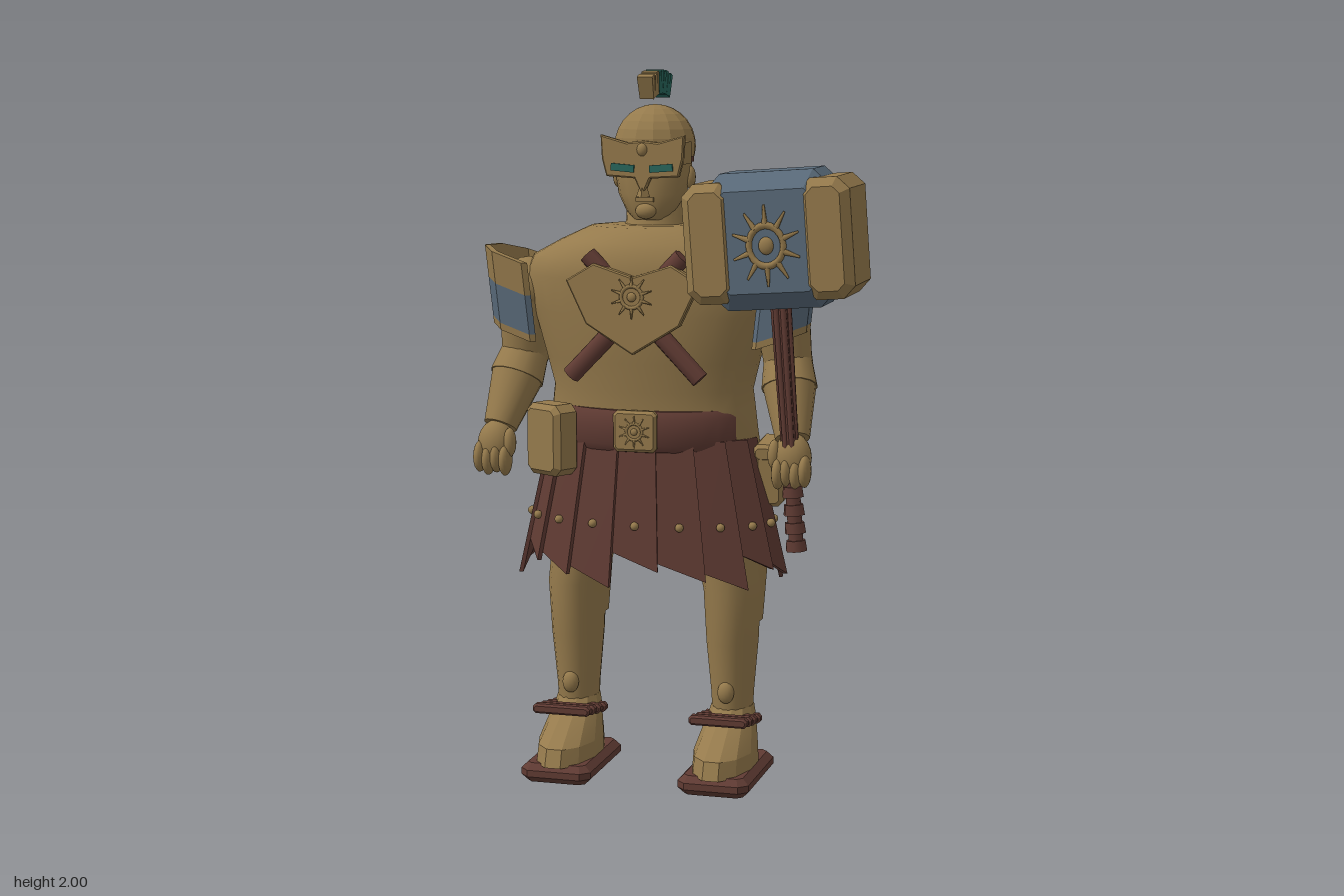
import * as THREE from 'three';
import { toCreasedNormals } from 'three/addons/utils/BufferGeometryUtils.js';

const CX = -0.07; // body's mirror plane
const V = (x, y, z) => new THREE.Vector3(x, y, z);
const paint = (name, color) => {
  const m = new THREE.MeshStandardMaterial({ color, side: THREE.DoubleSide });
  m.name = name;
  return m;
};

// closed rings of points, bottom to top, with ladder caps
function loft(rings, crease = 0.7) {
  const n = rings[0].length, idx = [];
  for (let i = 0; i + 1 < rings.length; i++) for (let j = 0; j < n; j++) {
    const a = i * n + j, b = i * n + (j + 1) % n;
    idx.push(a, a + n, b, b, a + n, b + n);
  }
  const top = (rings.length - 1) * n;
  for (let j = 0; j < n / 2 - 1; j++) {
    const k = n - 1 - j;
    idx.push(j, j + 1, k - 1, j, k - 1, k);
    idx.push(top + j, top + k - 1, top + j + 1, top + j, top + k, top + k - 1);
  }
  const g = new THREE.BufferGeometry().setFromPoints(rings.flat());
  g.setIndex(idx);
  return toCreasedNormals(g, crease);
}
// rows of [y, centre x, centre z, radius x, radius z]
const ovals = (rows, sides = 28, crease) => loft(rows.map(([y, cx, cz, rx, rz]) =>
  Array.from({ length: sides }, (_, j) => {
    const a = (j + 0.5) / sides * Math.PI * 2;
    return V(cx + rx * Math.cos(a), y, cz + rz * Math.sin(a));
  })), crease);

const shapeOf = pts => new THREE.Shape(pts.map(p => new THREE.Vector2(...p)));
function chamferBox(w, h, d, c) {
  const x = w / 2 - c, y = h / 2 - c, k = c * 0.8;
  const s = shapeOf([[-x + k, -y], [x - k, -y], [x, -y + k], [x, y - k], [x - k, y], [-x + k, y], [-x, y - k], [-x, -y + k]]);
  return new THREE.ExtrudeGeometry(s, { depth: d - 2 * c, bevelThickness: c, bevelSize: c, bevelSegments: 1 })
    .translate(0, 0, -d / 2 + c);
}
function plate(half, depth) { // outline mirrored in x
  const pts = [...half, ...half.filter(p => p[0] > 0).reverse().map(([x, y]) => [-x, y])];
  return new THREE.ExtrudeGeometry(shapeOf(pts), { depth, bevelThickness: 0.004, bevelSize: 0.004, bevelSegments: 1 });
}
function rod(a, b, ra, rb, sides = 16) {
  const d = b.clone().sub(a);
  const q = new THREE.Quaternion().setFromUnitVectors(V(0, 1, 0), d.clone().normalize());
  const g = new THREE.CylinderGeometry(rb, ra, d.length(), sides).applyQuaternion(q);
  const m = a.clone().add(b).multiplyScalar(0.5);
  return g.translate(m.x, m.y, m.z);
}
const ball = (x, y, z, rx, ry = rx, rz = rx) => new THREE.SphereGeometry(1, 16, 10).scale(rx, ry, rz).translate(x, y, z);
const box = (w, h, d, x, y, z) => new THREE.BoxGeometry(w, h, d).translate(x, y, z);
function flat(g) {
  const f = g.toNonIndexed();
  f.computeVertexNormals();
  return f;
}

export function createModel() {
  const root = new THREE.Group();
  const bronze = paint('bronze', 0x957a4c), steel = paint('steel', 0x5a6b7a);
  const leather = paint('leather', 0x603b33), teal = paint('teal', 0x28675c);
  const add = (name, geo, mat, parent = root) => {
    const m = new THREE.Mesh(geo, mat);
    m.name = name;
    parent.add(m);
    return m;
  };
  const group = (name, x = 0, y = 0, z = 0, parent = root) => {
    const g = new THREE.Group();
    g.name = name;
    g.position.set(x, y, z);
    parent.add(g);
    return g;
  };
  function sun(parent, x, y, z, r, stretch = 1) {
    const g = group('sunEmblem', x, y, z, parent);
    g.scale.y = stretch;
    add('sunRing', new THREE.TorusGeometry(r * 0.5, r * 0.09, 6, 20), bronze, g);
    add('sunCore', ball(0, 0, 0, r * 0.22, r * 0.22, r * 0.12), bronze, g);
    for (let i = 0; i < 10; i++) {
      const a = (i + 0.5) * Math.PI / 5, c = Math.cos(a), s = Math.sin(a);
      add('sunRay', rod(V(c * r * 0.5, s * r * 0.5, 0), V(c * r, s * r, 0), r * 0.09, r * 0.03, 6), bronze, g);
    }
  }

  // torso with hips
  add('torso', ovals([
    [0.77, CX, -0.065, 0.22, 0.125], [0.80, CX, -0.065, 0.28, 0.165], [0.87, CX, -0.06, 0.302, 0.176],
    [0.94, CX, -0.055, 0.305, 0.174], [1.0, CX, -0.04, 0.3, 0.166], [1.07, CX, -0.032, 0.294, 0.162],
    [1.12, CX, -0.03, 0.288, 0.162],
    [1.2, CX, -0.026, 0.308, 0.172], [1.33, CX, -0.024, 0.345, 0.18], [1.43, CX, -0.024, 0.37, 0.183],
    [1.485, CX, -0.024, 0.345, 0.18], [1.53, CX, -0.022, 0.262, 0.155],
    [1.57, CX, -0.02, 0.175, 0.115], [1.575, CX, -0.025, 0.12, 0.09]], 32), bronze);

  // belt, sinking into the hips at the sides, and buckle
  add('belt', ovals([[0.955, CX, -0.035, 0.274, 0.178], [0.975, CX, -0.033, 0.284, 0.188],
    [1.05, CX, -0.03, 0.284, 0.186], [1.07, CX, -0.03, 0.274, 0.174]], 32), leather);
  add('buckle', chamferBox(0.125, 0.115, 0.03, 0.008).translate(CX, 1.015, 0.147), bronze);
  sun(root, CX, 1.015, 0.164, 0.045);

  // skirt of overlapping slanted flaps, open at the back
  const flaps = 11, start = -0.42, span = (Math.PI + 0.84) / flaps;
  const hem = (a, y, out) => {
    const t = (0.99 - y) / 0.4;
    return V(CX + (0.287 + 0.093 * t + out) * Math.cos(a), y, -0.015 + (0.142 + 0.038 * t + out) * Math.sin(a));
  };
  for (let i = 0; i < flaps; i++) {
    const a0 = start + i * span, a1 = a0 + span * 1.08, low = 0.575 + 0.025 * (i % 3);
    const row = (y0, y1) => [hem(a0, y0, 0.015), hem(a1, y1, 0.004), hem(a1, y1, -0.008), hem(a0, y0, 0.003)];
    add('skirtFlap', loft([row(low, low + 0.05), row(0.985, 0.985)], 0.1), leather);
    const p = hem(a0 + span * 0.5, 0.75, 0.012);
    add('skirtStud', ball(p.x, p.y, p.z, 0.012), bronze);
  }

  // things hung from the belt
  add('hipPlate', chamferBox(0.135, 0.2, 0.09, 0.015).rotateY(-0.5).translate(-0.322, 0.98, 0.12), bronze);
  add('beltBox', chamferBox(0.08, 0.17, 0.12, 0.012).rotateX(0.12).translate(0.27, 0.88, -0.065), bronze);
  add('beltBoxLid', chamferBox(0.09, 0.05, 0.13, 0.01).rotateX(0.12).translate(0.27, 0.95, -0.06), bronze);
  add('canister', rod(V(-0.345, 0.795, -0.185), V(-0.345, 0.91, -0.185), 0.049, 0.056, 12), leather);
  add('canisterCap', ball(-0.345, 0.92, -0.185, 0.06, 0.045, 0.054), leather);

  // chest plate over crossed hafts
  for (const s of [-1, 1])
    add('crossedHaft', rod(V(CX - s * 0.185, 1.165, 0.15), V(CX + s * 0.135, 1.5, 0.15), 0.026, 0.026, 8), leather);
  add('chestPlate', plate([[0, 1.235], [0.13, 1.315], [0.185, 1.43], [0.11, 1.475], [0, 1.44]], 0.022)
    .translate(CX, 0, 0.155), bronze);
  sun(root, CX, 1.39, 0.185, 0.06);

  // head
  add('neck', ovals([[1.53, CX, -0.035, 0.11, 0.09], [1.58, CX, -0.042, 0.08, 0.076], [1.68, CX, -0.045, 0.075, 0.075]], 16), bronze);
  add('face', ovals([[1.59, CX, 0.005, 0.045, 0.035], [1.615, CX, -0.005, 0.07, 0.055], [1.66, CX, -0.022, 0.096, 0.076],
    [1.72, CX, -0.033, 0.108, 0.09], [1.79, CX, -0.04, 0.104, 0.095]], 16), bronze);
  add('helmet', flat(new THREE.SphereGeometry(0.115, 14, 8, 0, Math.PI * 2, 0, 1.82).translate(CX, 1.79, -0.05)), bronze);
  add('helmetBand', ovals([[1.747, CX, -0.05, 0.108, 0.098], [1.764, CX, -0.05, 0.109, 0.104]], 14), leather);
  add('visor', plate([[0, 1.665], [0.02, 1.71], [0.1, 1.715], [0.112, 1.76], [0.116, 1.82], [0.045, 1.8], [0, 1.805]], 0.014)
    .translate(CX, 0, 0.063), bronze);
  add('browJewel', ball(CX, 1.785, 0.08, 0.015, 0.018, 0.012), bronze);
  add('nose', flat(new THREE.ConeGeometry(0.02, 0.06, 4).translate(CX, 1.685, 0.07)), bronze);
  add('lips', box(0.05, 0.012, 0.02, CX, 1.647, 0.05), bronze);
  add('chinTuft', ball(CX, 1.615, 0.045, 0.03, 0.022, 0.02), bronze);
  for (const s of [-1, 1]) {
    add('eye', box(0.066, 0.02, 0.009, 0, 0, 0).rotateZ(s * 0.08).translate(CX + s * 0.055, 1.735, 0.083), teal);
    add('temple', box(0.014, 0.06, 0.08, CX + s * 0.108, 1.775, 0.03), bronze);
    add('ear', ball(CX + s * 0.104, 1.705, -0.04, 0.015, 0.032, 0.02), bronze);
  }

  // crest: a fan of small wedges above the helmet
  for (let i = 0; i < 9; i++) {
    const a = (i - 4) * 0.078, r = 0.3;
    const q = (rad, d) => [rad * Math.cos(a + d) - r + 2, -0.048 - rad * Math.sin(a + d)];
    const ring = (rad, w) => {
      const [y0, z0] = q(rad, -0.039), [y1, z1] = q(rad, 0.039);
      return [V(CX + w, y1, z1), V(CX + w, y0, z0), V(CX - w, y0, z0), V(CX - w, y1, z1)];
    };
    add('crestWedge', loft([ring(0.235, 0.02), ring(0.3 - 0.004 * (i % 2), 0.022 + 0.002 * (i % 2))], 0.1), i < 3 ? bronze : teal);
  }

  for (const s of [-1, 1]) {
    const side = s > 0 ? 'left' : 'right';
    const X = d => CX + s * d;

    // arm
    const arm = group(side + 'Arm');
    const elbow = V(X(0.385), 1.2, -0.045), wrist = V(X(0.425), 1.0, 0.065);
    add('shoulder', ball(X(0.365), 1.39, -0.025, 0.085), bronze, arm);
    add('upperArm', rod(V(X(0.365), 1.39, -0.025), elbow, 0.082, 0.068), bronze, arm);
    add('elbow', ball(elbow.x, elbow.y, elbow.z, 0.07), bronze, arm);
    const mid = elbow.clone().lerp(wrist, 0.35);
    add('forearm', rod(elbow, mid, 0.068, 0.078), bronze, arm);
    add('bracer', rod(mid, wrist, 0.074, 0.048), bronze, arm);
    add('palm', ball(X(0.43), 0.95, 0.085, 0.054, 0.07, 0.05), bronze, arm);
    for (let i = 0; i < 4; i++)
      add('finger', ball(X(0.395 + i * 0.025), 0.91 + 0.008 * (i % 2), 0.11, 0.018, 0.045, 0.034), bronze, arm);
    add('thumb', ball(X(0.383), 0.96, 0.105, 0.018, 0.042, 0.022), bronze, arm);

    // curved shoulder guard with a steel band
    const guard = [[0.335, -0.16], [0.415, -0.138], [0.468, -0.065], [0.478, 0.03], [0.438, 0.085], [0.35, 0.09]];
    const section = (y, t) => {
      const outer = guard.map(([d, z]) => V(X(d - 0.025 * (1 - t)), y + 0.05 * (d - 0.335) / 0.143, z));
      const inner = guard.map(([d, z]) =>
        V(X(d - 0.025 * (1 - t) - 0.014), y + 0.05 * (d - 0.335) / 0.143, z * 0.87)).reverse();
      const ring = [...outer, ...inner];
      return s > 0 ? ring : ring.reverse();
    };
    for (const [name, y0, y1, mat] of [['guardTrim', 1.24, 1.26, bronze], ['guardBand', 1.26, 1.37, steel], ['guardTop', 1.37, 1.46, bronze]])
      add(name, loft([section(y0, (y0 - 1.24) / 0.22), section(y1, (y1 - 1.24) / 0.22)], 0.3), mat, arm);

    // leg
    const leg = group(side + 'Leg'), lx = X(0.23);
    add('legShaft', ovals([[0.16, lx, -0.045, 0.056, 0.072], [0.25, lx, -0.045, 0.06, 0.08], [0.4, lx, -0.042, 0.073, 0.1],
      [0.55, lx, -0.037, 0.08, 0.108], [0.68, lx - s * 0.02, -0.045, 0.09, 0.115], [0.86, lx - s * 0.05, -0.05, 0.1, 0.12]], 20), bronze, leg);
    add('thighGuard', ovals([[0.45, lx, -0.08, 0.076, 0.085], [0.6, lx, -0.08, 0.088, 0.09],
      [0.82, lx - s * 0.03, -0.075, 0.098, 0.1]], 16), bronze, leg);
    add('ankleStud', ball(lx, 0.26, 0.035, 0.024, 0.032, 0.02), bronze, leg);
    add('foot', ovals([[0.05, lx, 0.035, 0.088, 0.178], [0.1, lx, 0.03, 0.086, 0.165], [0.145, lx, -0.005, 0.076, 0.125],
      [0.18, lx, -0.035, 0.067, 0.09], [0.21, lx, -0.045, 0.06, 0.076]], 12, 0.2), bronze, leg);
    add('sole', chamferBox(0.205, 0.345, 0.055, 0.018).rotateX(Math.PI / 2).translate(lx, 0.0275, 0.028), leather, leg);
    for (let i = 0; i < 4; i++)
      add('ankleStrap', chamferBox(0.17, 0.028, 0.03, 0.006).translate(lx, 0.198 - i * 0.009, 0.115 - i * 0.052), leather, leg);
  }

  // war hammer held upright in the left hand
  const hammer = group('hammer', 0.316, 1.553, 0.104);
  hammer.rotation.z = 0.072;
  add('hammerHead', chamferBox(0.39, 0.37, 0.24, 0.048), steel, hammer);
  for (const s of [-1, 1])
    add('hammerCap', chamferBox(0.14, 0.325, 0.252, 0.024).translate(s * 0.161, 0, 0), bronze, hammer);
  sun(hammer, 0, -0.01, 0.124, 0.095, 1.15);
  add('shaft', rod(V(0, -0.86, 0), V(0, -0.15, 0), 0.02, 0.022, 10), leather, hammer);
  for (let i = 0; i < 6; i++) {
    const a = i * Math.PI / 3, x = 0.021 * Math.cos(a), z = 0.021 * Math.sin(a);
    add('shaftRib', rod(V(x * 0.8, -0.62, z * 0.8), V(x, -0.17, z), 0.008, 0.009, 6), leather, hammer);
  }
  for (let i = 0; i < 4; i++)
    add('gripRing', rod(V(0, -0.86 + i * 0.05, 0), V(0, -0.83 + i * 0.05, 0), 0.03, 0.027, 8), leather, hammer);

  return root;
}
